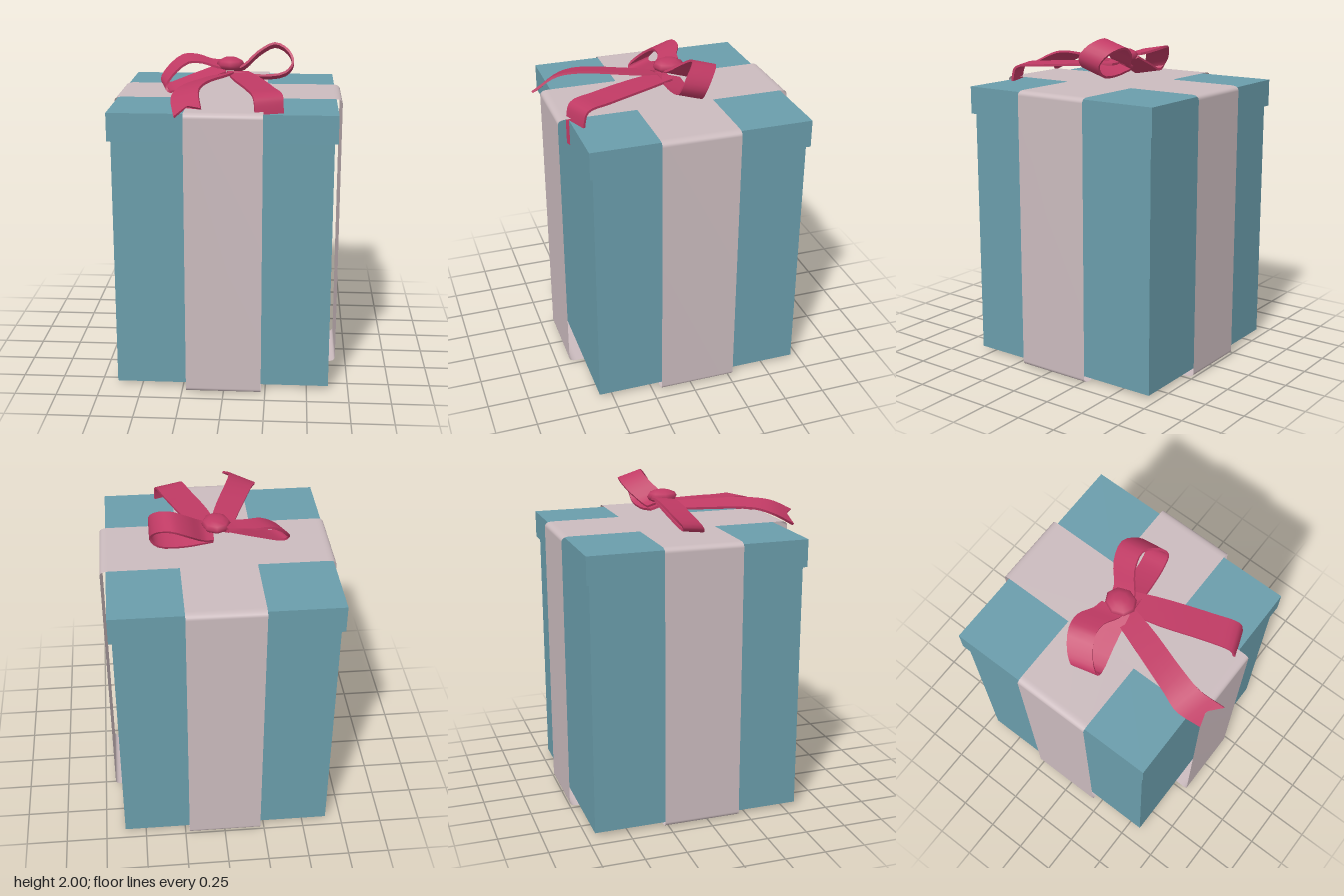
import * as THREE from 'three';
import { toCreasedNormals } from 'three/addons/utils/BufferGeometryUtils.js';

const teal = new THREE.MeshStandardMaterial({ color: 0x6a9dab });
const pale = new THREE.MeshStandardMaterial({ color: 0xcbbbbe, side: THREE.DoubleSide });
const crimson = new THREE.MeshStandardMaterial({ color: 0xc03a64 });

function add(group, name, geometry, material, x = 0, y = 0, z = 0) {
  const mesh = new THREE.Mesh(geometry, material);
  mesh.name = name;
  mesh.position.set(x, y, z);
  group.add(mesh);
  return mesh;
}

// Open loop of flat ribbon with rounded corners: profile in (z, y), swept along x.
function bandGeometry(z0, z1, y0, y1, x0, x1) {
  const rz = 0.05, ry = 0.03;
  const s = new THREE.Shape();
  s.moveTo(z0 + rz, y0);
  s.lineTo(z1 - rz, y0);
  s.quadraticCurveTo(z1, y0, z1, y0 + ry);
  s.lineTo(z1, y1 - ry);
  s.quadraticCurveTo(z1, y1, z1 - rz, y1);
  s.lineTo(z0 + rz, y1);
  s.quadraticCurveTo(z0, y1, z0, y1 - ry);
  s.lineTo(z0, y0 + ry);
  s.quadraticCurveTo(z0, y0, z0 + rz, y0);
  const pts = s.getPoints(6);
  const pos = [], idx = [];
  pts.forEach((p, i) => {
    pos.push(x0, p.y, p.x, x1, p.y, p.x);
    if (i < pts.length - 1) {
      const a = i * 2;
      idx.push(a, a + 1, a + 2, a + 1, a + 3, a + 2);
    }
  });
  const g = new THREE.BufferGeometry();
  g.setAttribute('position', new THREE.Float32BufferAttribute(pos, 3));
  // the profile runs +z along the bottom, so flip to face outward
  for (let i = 0; i < idx.length; i += 3) [idx[i + 1], idx[i + 2]] = [idx[i + 2], idx[i + 1]];
  g.setIndex(idx);
  g.computeVertexNormals();
  return g;
}

// Thin slab of ribbon between two edge curves; notch cuts a V into its end.
function ribbonGeometry(edgeA, edgeB, steps, notch = 0, thick = 0.014) {
  const curve = (e) => new THREE.CatmullRomCurve3(e.map((p) => new THREE.Vector3(...p)));
  const a = curve(edgeA), b = curve(edgeB);
  const pos = [], idx = [];
  for (let i = 0; i <= steps; i++) {
    const t = i / steps;
    const A = a.getPoint(t), B = b.getPoint(t);
    const T = a.getTangent(t).add(b.getTangent(t)).normalize();
    const N = T.clone().cross(B.clone().sub(A)).normalize().multiplyScalar(thick / 2);
    const M = A.clone().lerp(B, 0.5);
    if (i === steps) M.addScaledVector(T, -notch);
    for (const p of [A, M, B]) pos.push(...p.clone().add(N).toArray());
    for (const p of [B, M, A]) pos.push(...p.clone().sub(N).toArray());
    if (i < steps) {
      for (let j = 0; j < 6; j++) {
        const p = i * 6 + j, q = i * 6 + (j + 1) % 6;
        idx.push(p, p + 6, q, q, p + 6, q + 6);
      }
    }
  }
  const e = steps * 6;
  for (const [p, q, r] of [[0, 1, 5], [1, 4, 5], [1, 2, 4], [2, 3, 4]]) {
    idx.push(p, q, r, e + p, e + r, e + q);
  }
  const g = new THREE.BufferGeometry();
  g.setAttribute('position', new THREE.Float32BufferAttribute(pos, 3));
  g.setIndex(idx);
  return toCreasedNormals(g, 0.7);
}

const shifted = (edge, d) => edge.map((p) => p.map((v, i) => v + d[i]));

export function createModel() {
  const model = new THREE.Group();
  model.name = 'giftBox';

  // Box and lid
  add(model, 'box', new THREE.BoxGeometry(1.28, 1.52, 1.28), teal, -0.01, 0.78, -0.06);
  add(model, 'lid', new THREE.BoxGeometry(1.32, 0.165, 1.32), teal, -0.01, 1.6125, -0.06);

  // Two wrapping bands
  add(model, 'frontToBackBand', bandGeometry(-0.75, 0.67, 0, 1.71, -0.225, 0.225), pale);
  const side = add(model, 'sideToSideBand', bandGeometry(-0.685, 0.685, 0.003, 1.708, -0.195, 0.275), pale);
  side.rotation.y = Math.PI / 2;

  // Rounded webs where the bands cross underneath
  const r = 0.15;
  const web = new THREE.Shape();
  web.moveTo(0, 0);
  web.lineTo(r, 0);
  web.quadraticCurveTo(0, 0, 0, r);
  web.lineTo(0, 0);
  for (const sx of [-1, 1]) {
    for (const sz of [-1, 1]) {
      const m = add(model, 'bottomWeb', new THREE.ShapeGeometry(web, 8), pale,
        sx * 0.225, 0.003, sz > 0 ? 0.195 : -0.275);
      m.rotation.x = Math.PI / 2;
      m.scale.set(sx, sz, 1);
    }
  }

  // Bow
  const bow = new THREE.Group();
  bow.name = 'bow';
  model.add(bow);

  const knot = add(bow, 'knot', new THREE.SphereGeometry(1, 8, 6), crimson, 0, 1.87, -0.068);
  knot.scale.set(0.085, 0.042, 0.095);

  const leftLoop = [
    [0.02, 1.83, 0.01], [0.2, 1.81, 0], [0.34, 1.83, -0.015], [0.385, 1.89, -0.025],
    [0.355, 1.955, -0.07], [0.27, 1.99, -0.122], [0.17, 1.94, -0.1], [0.08, 1.865, -0.03], [0.02, 1.85, -0.01],
  ];
  add(bow, 'leftLoop', ribbonGeometry(leftLoop, shifted(leftLoop, [0, -0.045, -0.145]), 24), crimson);

  const rightLoop = [
    [-0.02, 1.83, 0.01], [-0.2, 1.765, 0.04], [-0.36, 1.715, 0.07], [-0.385, 1.74, 0.06],
    [-0.355, 1.8, 0.01], [-0.26, 1.875, -0.05], [-0.17, 1.875, -0.06], [-0.08, 1.855, -0.02], [-0.02, 1.85, -0.01],
  ];
  add(bow, 'rightLoop', ribbonGeometry(rightLoop, shifted(rightLoop, [-0.045, 0.025, -0.145]), 24), crimson);

  // Tails: one with a notched tip, one folding down over the lid edge
  add(bow, 'rightTail', ribbonGeometry(
    [[-0.08, 1.8, -0.06], [-0.16, 1.81, 0.15], [-0.265, 1.81, 0.43], [-0.3, 1.775, 0.54], [-0.27, 1.695, 0.69]],
    [[0.04, 1.82, -0.04], [-0.015, 1.835, 0.17], [-0.11, 1.845, 0.45], [-0.14, 1.825, 0.59], [-0.115, 1.755, 0.74]],
    14, 0.06), crimson);
  add(bow, 'leftTail', ribbonGeometry(
    [[-0.02, 1.82, -0.05], [0.03, 1.815, 0.17], [0.12, 1.805, 0.43], [0.165, 1.785, 0.575], [0.175, 1.72, 0.6], [0.18, 1.54, 0.605]],
    [[0.11, 1.82, -0.06], [0.18, 1.815, 0.1], [0.28, 1.8, 0.37], [0.33, 1.785, 0.515], [0.335, 1.72, 0.54], [0.335, 1.54, 0.55]],
    20), crimson);

  return model;
}
